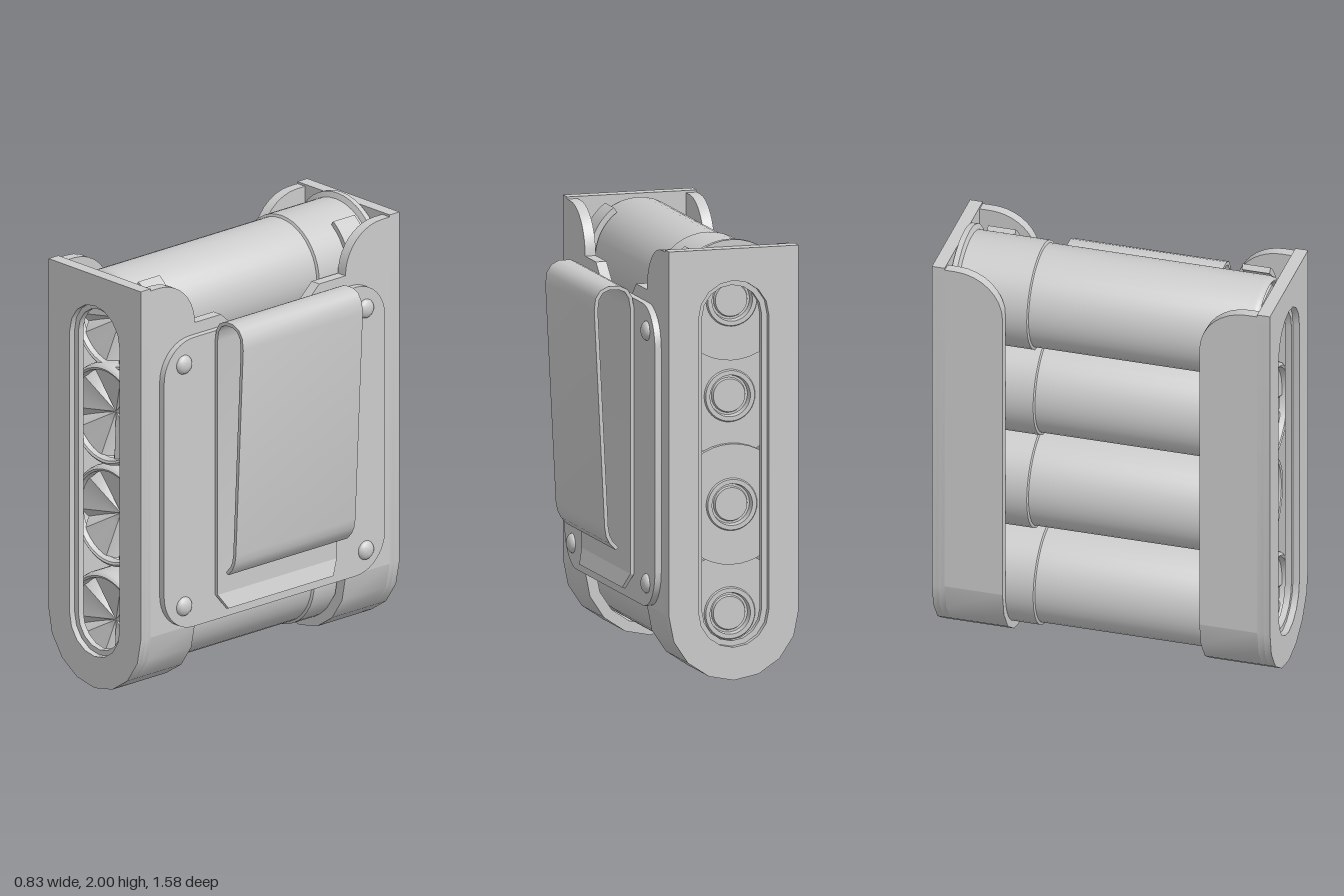
import * as THREE from 'three';
import { toCreasedNormals } from 'three/addons/utils/BufferGeometryUtils.js';

const mat = new THREE.MeshStandardMaterial({ color: 0xcccccc });
const matDouble = new THREE.MeshStandardMaterial({ color: 0xcccccc, side: THREE.DoubleSide });
const PI = Math.PI;
const CX = -0.11, R = 0.305, RI = 0.255; // holder centre, outer and inner radius

function add(parent, name, geo, material = mat) {
  const mesh = new THREE.Mesh(toCreasedNormals(geo, 0.6), material);
  mesh.name = name;
  parent.add(mesh);
  return mesh;
}

const extrude = (shape, depth, curveSegments = 8) =>
  new THREE.ExtrudeGeometry(shape, { depth, bevelEnabled: false, curveSegments });

// Sheet drawn in (-z, y) and thickened along +x
const sheet = (shape, x, depth, seg) => extrude(shape, depth, seg).rotateY(PI / 2).translate(x, 0, 0);

function polygon(points) {
  return new THREE.Shape(points.map(([x, y]) => new THREE.Vector2(x, y)));
}

function slot(r) {
  const p = new THREE.Path();
  p.absarc(CX, 1.82 - 0.165, r, 0, PI, false);
  p.absarc(CX, 0.15 + 0.165, r, PI, 2 * PI, false);
  p.closePath();
  return p;
}

// U-shaped end plate with a slot
function endPlate(slotRadius) {
  const s = new THREE.Shape();
  s.moveTo(CX + R, 1.965);
  s.lineTo(CX - R, 1.965);
  s.absarc(CX, R, R, PI, 2 * PI, false);
  s.closePath();
  s.holes.push(slot(slotRadius));
  return extrude(s, 0.03, 4);
}

function roundedRect(w, y0, y1, r) {
  const s = new THREE.Shape();
  s.absarc(w - r, y0 + r, r, -PI / 2, 0, false);
  s.absarc(w - r, y1 - r, r, 0, PI / 2, false);
  s.absarc(-w + r, y1 - r, r, PI / 2, PI, false);
  s.absarc(-w + r, y0 + r, r, PI, 1.5 * PI, false);
  s.closePath();
  return s;
}

// Even ribbon around a centre line
function ribbon(points, t) {
  const p = points.map(([x, y]) => new THREE.Vector2(x, y));
  const left = [], right = [];
  p.forEach((q, i) => {
    const d = p[Math.min(i + 1, p.length - 1)].clone().sub(p[Math.max(i - 1, 0)]).normalize();
    const n = new THREE.Vector2(-d.y, d.x).multiplyScalar(t / 2);
    left.push(q.clone().add(n));
    right.unshift(q.clone().sub(n));
  });
  return new THREE.Shape([...left, ...right]);
}

function createShell() {
  const g = new THREE.Group();
  g.name = 'cartridge';
  const lathe = (pts) =>
    new THREE.LatheGeometry(pts.map(([r, z]) => new THREE.Vector2(r, z)), 40).rotateX(PI / 2);
  // Base with primer, rim and sleeve
  add(g, 'metalBase', lathe([
    [0, -0.72], [0.075, -0.72], [0.08, -0.705], [0.09, -0.705], [0.095, -0.735], [0.115, -0.735],
    [0.12, -0.725], [0.275, -0.725], [0.275, -0.70], [0.25, -0.69], [0.25, -0.36], [0.238, -0.355],
  ]), matDouble);
  // Tube with rolled front edge
  add(g, 'tube', lathe([
    [0.238, -0.36], [0.238, 0.67], [0.233, 0.69], [0.222, 0.70], [0.212, 0.695], [0.206, 0.66],
  ]), matDouble);
  // Folded star closure
  const star = new THREE.RingGeometry(0.002, 0.21, 60, 4);
  const pos = star.attributes.position;
  const step = 2 * PI / 5;
  for (let i = 0; i < pos.count; i++) {
    const x = pos.getX(i), y = pos.getY(i), f = Math.hypot(x, y) / 0.21;
    let a = (Math.atan2(y, x) + PI / 2 + 4 * PI) % step;
    a = Math.min(a, step - a);
    const groove = Math.max(0, 1 - a / 0.2);
    pos.setZ(i, 0.62 + 0.05 * f - 0.04 * groove * Math.sin(f * PI * 0.6));
  }
  star.computeVertexNormals();
  add(g, 'foldedClosure', star, matDouble);
  return g;
}

export function createModel() {
  const model = new THREE.Group();
  model.name = 'cartridgeHolder';

  // Four stacked cartridges, alternately shifted so the rims clear
  [[0.29, 0.03], [0.79, 0], [1.28, 0.03], [1.72, 0]].forEach(([y, z]) => {
    const shell = createShell();
    shell.position.set(-0.12, y, z);
    model.add(shell);
  });

  // End caps: slotted plate, curved floor, outer side arm and retaining tab
  for (const s of [1, -1]) {
    const cap = new THREE.Group();
    cap.name = s > 0 ? 'frontCap' : 'backCap';
    model.add(cap);
    add(cap, 'endPlateOuter', endPlate(0.165).translate(0, 0, s * 0.775 - 0.015));
    add(cap, 'endPlateInner', endPlate(0.14).translate(0, 0, s * 0.745 - 0.015));

    const floor = new THREE.Shape();
    floor.absarc(CX, R, R, PI, 2 * PI, false);
    floor.absarc(CX, R, RI, 2 * PI, PI, true);
    floor.closePath();
    add(cap, 'curvedFloor', extrude(floor, 0.27, 4).translate(0, 0, s * 0.595 - 0.135));

    const arm = new THREE.Shape();
    arm.moveTo(-s * 0.73, R);
    arm.lineTo(-s * 0.73, 1.955);
    arm.lineTo(-s * 0.68, 1.955);
    arm.absellipse(-s * 0.68, 1.74, 0.22, 0.215, PI / 2, s > 0 ? 0 : PI, s > 0);
    arm.lineTo(-s * 0.46, R);
    arm.closePath();
    add(cap, 'sideArm', sheet(arm, CX - R, 0.05, 4));

    const tab = new THREE.Shape();
    tab.absarc(-0.12, 1.72, 0.272, 0.1, 0.95, false);
    tab.absarc(-0.12, 1.72, 0.245, 0.95, 0.1, true);
    tab.closePath();
    add(cap, 'retainingTab', extrude(tab, 0.13, 6).translate(0, 0, s * 0.595 - 0.065));
  }

  // Full side wall with rounded shoulders and a finger dip
  const wall = new THREE.Shape();
  wall.moveTo(-0.73, R);
  wall.lineTo(0.73, R);
  wall.lineTo(0.73, 1.955);
  wall.lineTo(0.68, 1.955);
  wall.absellipse(0.68, 1.74, 0.22, 0.215, PI / 2, PI, false);
  wall.lineTo(0.3, 1.74);
  wall.quadraticCurveTo(0, 1.4, -0.3, 1.74);
  wall.lineTo(-0.46, 1.74);
  wall.absellipse(-0.68, 1.74, 0.22, 0.215, 0, PI / 2, false);
  wall.lineTo(-0.73, 1.955);
  wall.closePath();
  add(model, 'sideWall', sheet(wall, CX + RI, 0.05, 5));

  // Clip mounting plate and rivets
  add(model, 'mountingPlate', sheet(roundedRect(0.675, 0.31, 1.685, 0.18), 0.195, 0.03, 5));
  for (const z of [-0.555, 0.555]) for (const y of [0.42, 1.57]) {
    const rivet = new THREE.SphereGeometry(0.045, 18, 8, 0, 2 * PI, 0, PI / 2)
      .rotateZ(-PI / 2).scale(0.62, 1, 1).translate(0.224, y, z);
    add(model, 'rivet', rivet);
  }

  // Folded belt clip
  const W = 0.365;
  const clipLine = [
    [0.234, 0.43], [0.234, 1.64], [0.242, 1.69], [0.262, 1.722], [0.295, 1.737], [0.345, 1.737],
    [0.378, 1.722], [0.398, 1.69], [0.404, 1.64], [0.355, 0.65], [0.348, 0.61], [0.333, 0.58], [0.305, 0.55],
  ];
  add(model, 'beltClip', extrude(ribbon(clipLine, 0.017), 2 * W).translate(0, 0, -W));
  const lip = polygon([[-W, 0], [-W + 0.045, -0.075], [W - 0.045, -0.075], [W, 0]]);
  add(model, 'clipLip', sheet(lip, -0.008, 0.016).rotateZ(0.35).translate(0.234, 0.432, 0));

  return model;
}
